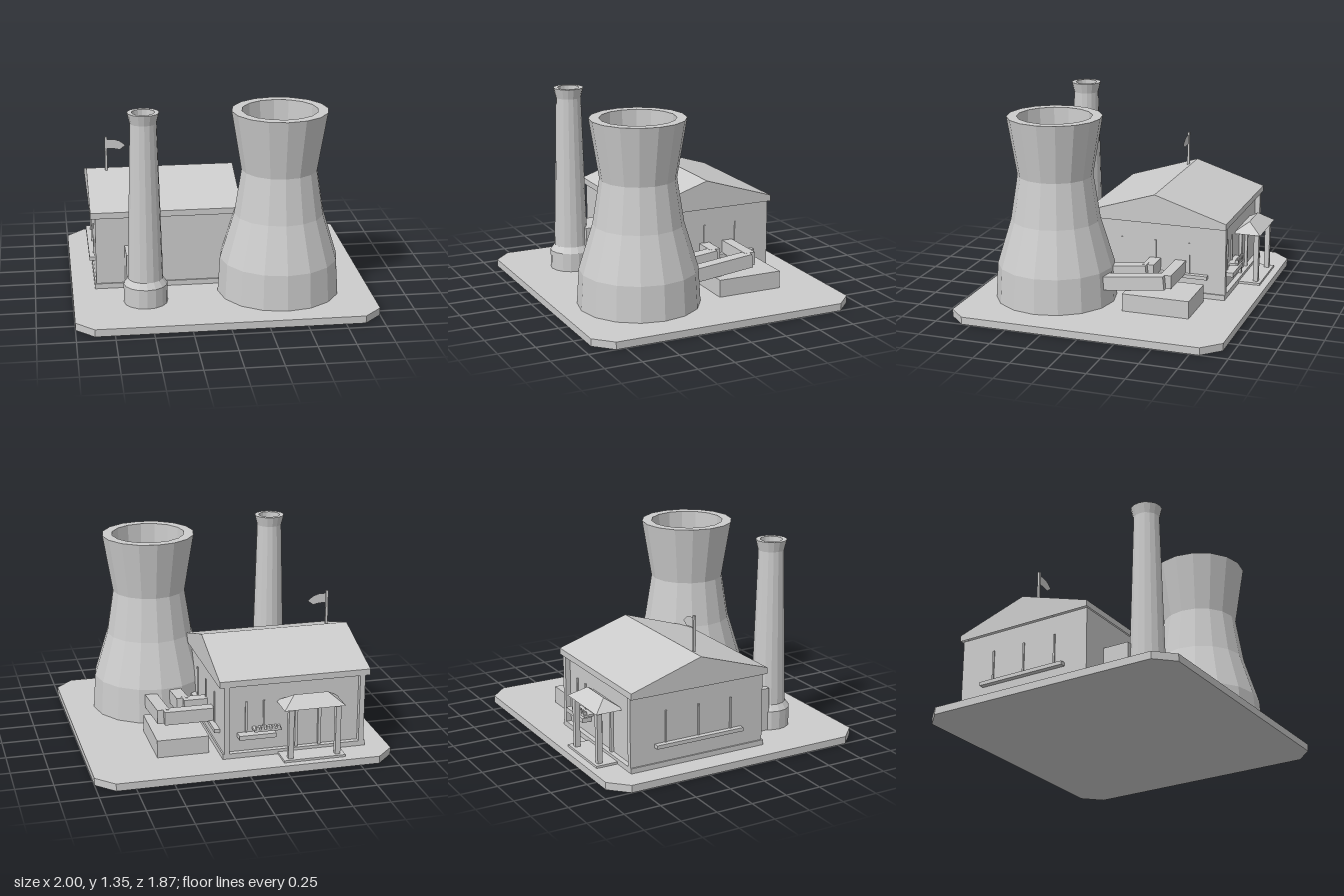
import * as THREE from 'three';

export function createModel() {
  const model = new THREE.Group();
  const grey = new THREE.MeshStandardMaterial({
    color: 0xcccccc, flatShading: true, side: THREE.DoubleSide,
  });
  grey.name = 'plain grey';

  const add = (name, geometry) => {
    const mesh = new THREE.Mesh(geometry, grey);
    mesh.name = name;
    model.add(mesh);
    return mesh;
  };
  // box from its min and max along each axis
  const box = (name, x0, x1, y0, y1, z0, z1) => {
    const g = new THREE.BoxGeometry(x1 - x0, y1 - y0, z1 - z0);
    g.translate((x0 + x1) / 2, (y0 + y1) / 2, (z0 + z1) / 2);
    return add(name, g);
  };
  const polygon = (pts) => new THREE.Shape(pts.map(([x, y]) => new THREE.Vector2(x, y)));
  const extrude = (shape, depth) =>
    new THREE.ExtrudeGeometry(shape, { depth, bevelEnabled: false });
  // plan outline given as x, -z, raised from y0 to y1
  const raise = (shape, y0, y1) =>
    extrude(shape, y1 - y0).rotateX(-Math.PI / 2).translate(0, y0, 0);
  // keeps only the triangles whose normal's y passes the test, leaving a shell
  const shell = (geometry, keep) => {
    const { position, normal } = geometry.attributes;
    const kept = [];
    for (let i = 0; i < position.count; i += 3)
      if (keep(normal.getY(i)))
        for (let k = i; k < i + 3; k++)
          kept.push(position.getX(k), position.getY(k), position.getZ(k));
    const g = new THREE.BufferGeometry();
    g.setAttribute('position', new THREE.Float32BufferAttribute(kept, 3));
    g.computeVertexNormals();
    return g;
  };
  // hollow faceted tower: outside going up, over the rim, inside going down
  const tower = (name, profile, sides, x, z) => {
    const pts = profile.map(([r, y]) => new THREE.Vector2(r, y));
    add(name, new THREE.LatheGeometry(pts, sides)).position.set(x, 0, z);
  };

  // ground slab with cut corners
  const W = 1, D = 0.934, C = 0.12;
  add('groundSlab', raise(polygon([
    [-W + C, -D], [W - C, -D], [W, -D + C], [W, D - C],
    [W - C, D], [-W + C, D], [-W, D - C], [-W, -D + C],
  ]), 0, 0.05));

  // cooling tower and chimney
  tower('coolingTower', [
    [0.412, 0.05], [0.397, 0.29], [0.302, 0.6], [0.254, 0.905], [0.32, 1.305],
    [0.252, 1.305], [0.235, 0.905], [0.28, 0.6], [0.37, 0.29], [0.385, 0.05],
  ], 16, 0.388, 0.382);
  tower('chimney', [
    [0.146, 0.05], [0.146, 0.18], [0.117, 0.22], [0.087, 1.28], [0.104, 1.35],
    [0.074, 1.35], [0.068, 1.28], [0.09, 0.05],
  ], 16, -0.52, 0.5);
  box('chimneyFlue', -0.64, -0.4, 0, 0.35, 0.2, 0.43);

  // walls: end walls run past the recessed back wall
  const walls = raise(polygon([
    [-0.835, -0.245], [0.125, -0.245], [0.125, 0.735], [0.09, 0.735],
    [0.09, 0.7], [-0.8, 0.7], [-0.8, 0.735], [-0.835, 0.735],
  ]), 0.05, 0.56);
  add('walls', shell(walls, (ny) => Math.abs(ny) < 0.5));

  // plinth ring around the walls
  const ring = polygon([[-0.845, -0.255], [0.135, -0.255], [0.135, 0.735], [-0.845, 0.735]]);
  ring.holes.push(polygon([[-0.82, -0.23], [-0.82, 0.7], [0.11, 0.7], [0.11, -0.23]]));
  add('plinth', raise(ring, 0, 0.085));

  // gabled roof, ridge along x, open underneath
  const roof = extrude(polygon(
    [[-0.262, 0.553], [0.742, 0.553], [0.742, 0.595], [0.24, 0.755], [-0.262, 0.595]]), 1.024);
  roof.rotateY(Math.PI / 2).translate(-0.866, 0, 0);
  add('roof', shell(roof, (ny) => ny > -0.5));

  // window sills and bars on both gable ends
  for (const [wall, dir, half] of [[-0.835, -1, 0.32], [0.125, 1, 0.375]]) {
    const span = (out) => [Math.min(wall, wall + dir * out), Math.max(wall, wall + dir * out)];
    box('windowSill', ...span(0.037), 0.19, 0.215, -0.24 - half, -0.24 + half);
    for (const z of [-0.48, -0.24, 0])
      box('windowBar', ...span(0.008), 0.215, 0.43, z - 0.006, z + 0.006);
  }

  // back window with a planter
  box('backSill', -0.22, 0.03, 0.185, 0.215, -0.765, -0.7);
  for (const x of [-0.15, -0.03])
    box('backWindowBar', x - 0.006, x + 0.006, 0.215, 0.43, -0.71, -0.7);
  box('planter', -0.255, -0.07, 0.235, 0.25, -0.77, -0.7);
  for (let i = 0; i < 5; i++)
    box('plant', -0.245 + i * 0.036, -0.225 + i * 0.036, 0.25, 0.27, -0.77, -0.745);

  // porch
  box('porchStep', -0.66, -0.24, 0.05, 0.065, -0.885, -0.7);
  for (const x of [-0.63, -0.31])
    box('porchPost', x, x + 0.035, 0.065, 0.41, -0.862, -0.827);
  for (const x of [-0.54, -0.38])
    box('doorFrame', x, x + 0.02, 0.065, 0.38, -0.72, -0.7);
  box('doorLintel', -0.54, -0.36, 0.36, 0.38, -0.72, -0.7);
  // hipped porch roof: a box with its top drawn in to a ridge
  const hip = new THREE.BoxGeometry(0.415, 0.07, 0.2);
  const p = hip.attributes.position;
  for (let i = 0; i < p.count; i++)
    if (p.getY(i) > 0) {
      p.setX(i, Math.sign(p.getX(i)) * 0.115);
      p.setZ(i, 0);
    }
  hip.computeVertexNormals();
  add('porchRoof', hip).position.set(-0.447, 0.445, -0.78);

  // machine bed and the two ducts leading to the cooling tower
  box('machineBed', 0.195, 0.545, 0, 0.17, -0.605, -0.145);
  for (const [x, z] of [[0.46, -0.418], [0.288, -0.24]]) {
    box('ductFromWall', 0.12, x, 0.21, 0.302, z - 0.038, z + 0.038);
    const length = 0.1 - z;
    const duct = add('slopedDuct', new THREE.BoxGeometry(0.084, 0.094, length));
    duct.position.set(x, 0.257 - length * 0.055, z + length / 2);
    duct.rotation.x = 0.11;
  }

  // flag
  box('flagPole', -0.736, -0.72, 0.7, 0.985, -0.22, -0.204);
  const flag = new THREE.ShapeGeometry(polygon([
    [0, 0.01], [0.05, 0.008], [0.09, 0], [0.13, 0.03], [0.09, 0.062], [0.05, 0.075], [0, 0.075]]));
  add('flag', flag).position.set(-0.722, 0.89, -0.212);

  return model;
}
